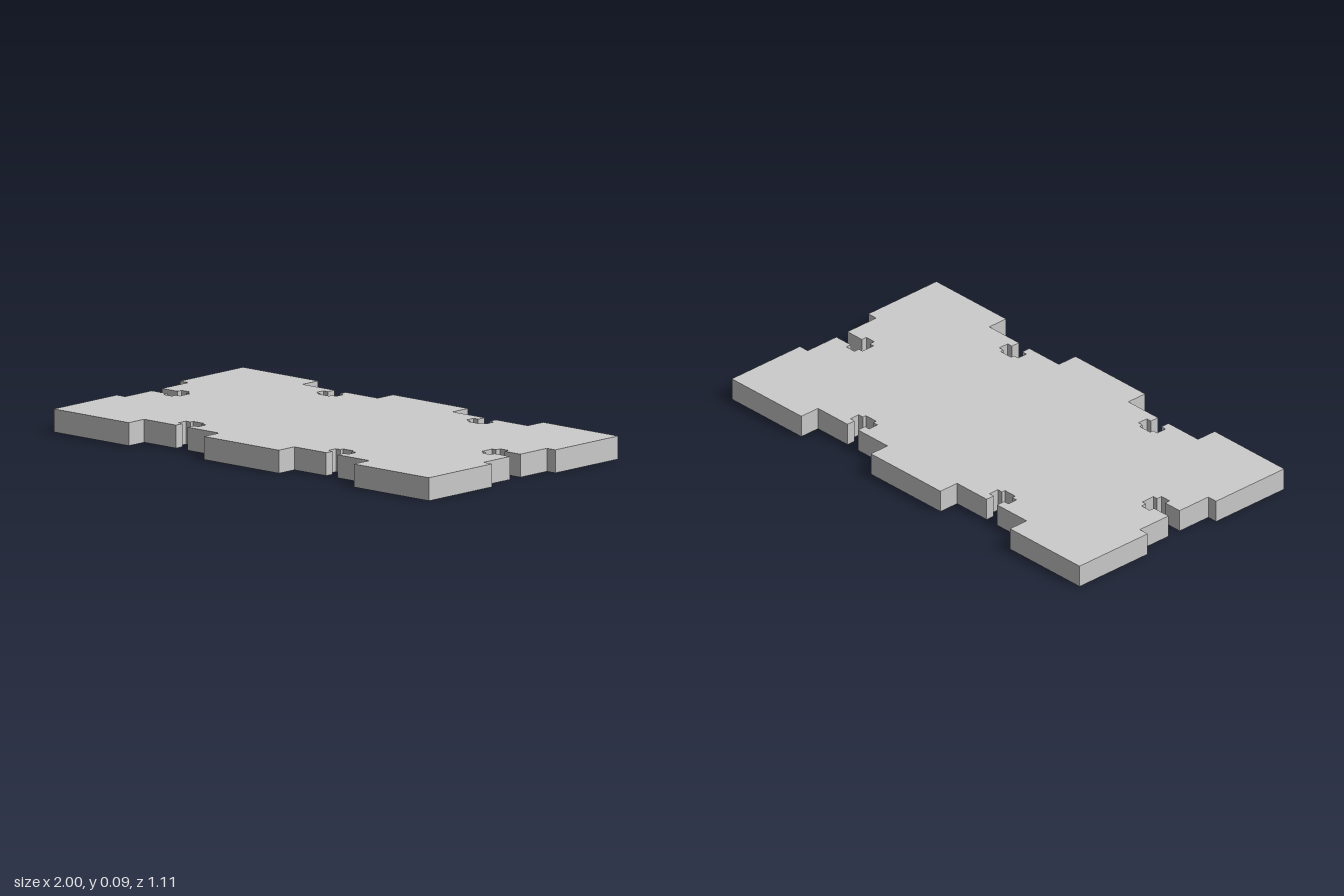
import * as THREE from 'three';

const THICKNESS = 0.093;

// Half of a T-slot as [offset from slot axis, distance from panel centre], mouth to end
const halfSlot = (mouth, headOuter, headInner, end) => [
  [0.03, mouth], [0.03, headOuter], [0.054, headOuter],
  [0.054, headInner], [0.03, headInner], [0.03, end],
];

// Outline of one quarter, from the end slot round the corner to the middle tab
function quarterOutline() {
  const endSlot = halfSlot(0.955, 0.872, 0.826, 0.805).reverse().map(([o, d]) => [d, o]);
  const longSlot = halfSlot(0.463, 0.425, 0.38, 0.364);
  const slotX = 0.4;
  return [
    ...endSlot,
    [0.955, 0.185], [1, 0.185], [1, 0.553], [0.6, 0.553], [0.6, 0.463],
    ...longSlot.map(([o, d]) => [slotX + o, d]),
    ...[...longSlot].reverse().map(([o, d]) => [slotX - o, d]),
    [0.2, 0.463], [0.2, 0.553],
  ];
}

export function createModel() {
  const group = new THREE.Group();
  group.name = 'slottedPanel';

  // Mirror the quarter into all four corners, keeping one winding direction
  const quarter = quarterOutline();
  const outline = [[1, 1], [-1, 1], [-1, -1], [1, -1]].flatMap(([sx, sy]) => {
    const points = quarter.map(([x, y]) => new THREE.Vector2(sx * x, sy * y));
    return sx * sy > 0 ? points : points.reverse();
  });

  // Flat panel with tabs, notches and T-slots cut through it
  const geometry = new THREE.ExtrudeGeometry(new THREE.Shape(outline), {
    depth: THICKNESS,
    bevelEnabled: false,
  });
  geometry.rotateX(-Math.PI / 2);

  const panel = new THREE.Mesh(
    geometry,
    new THREE.MeshStandardMaterial({ color: 0xcccccc, flatShading: true })
  );
  panel.name = 'panel';
  group.add(panel);
  return group;
}
